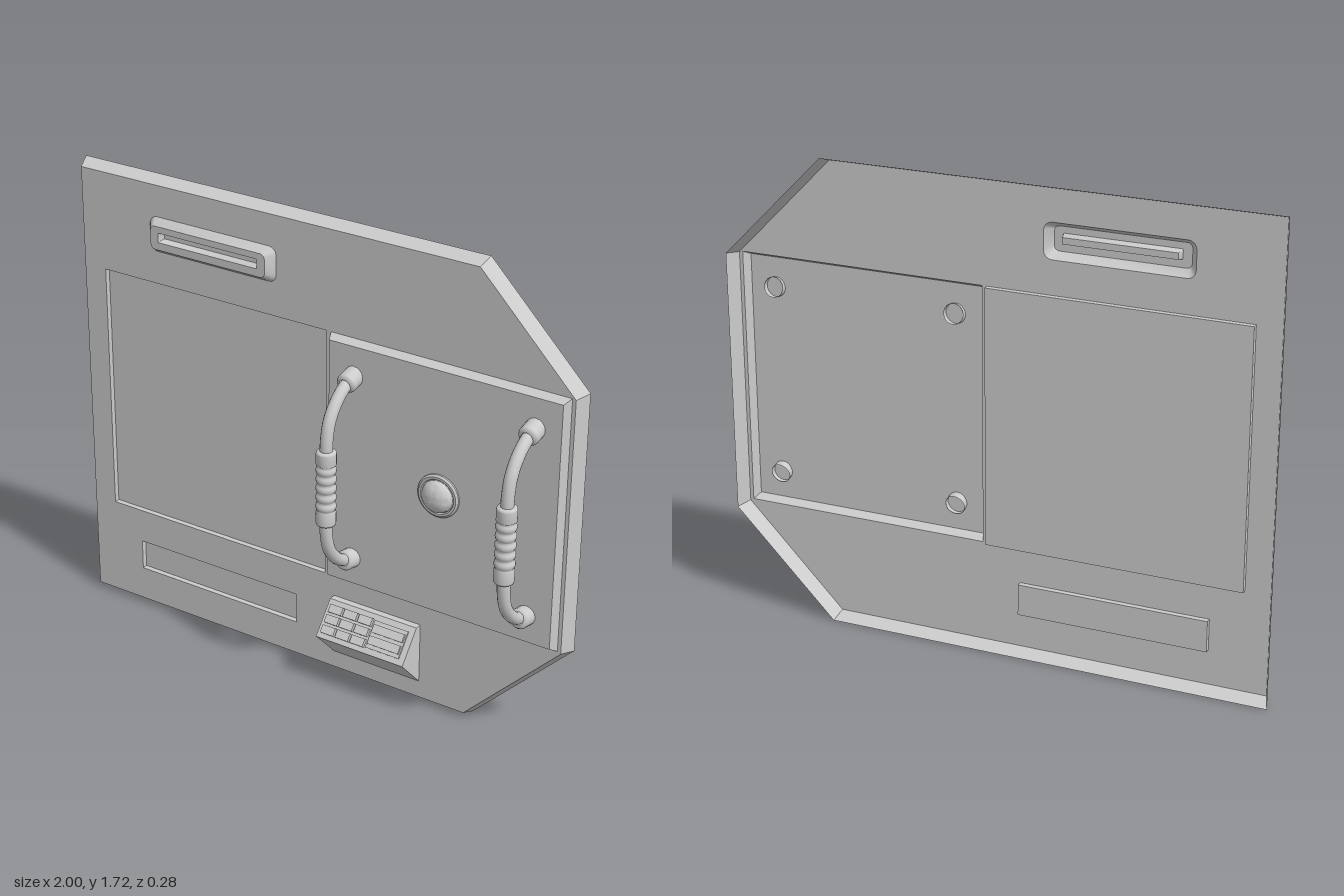
import * as THREE from 'three';
import { mergeVertices, toCreasedNormals } from 'three/addons/utils/BufferGeometryUtils.js';

const mat = new THREE.MeshStandardMaterial({ color: 0xcccccc, side: THREE.DoubleSide });
const FACE = -0.085; // z of the front sheet
const DOOR = -0.055; // z of the raised door panel

function add(parent, name, geometry) {
  const mesh = new THREE.Mesh(geometry, mat);
  mesh.name = name;
  parent.add(mesh);
  return mesh;
}

// Counter-clockwise rectangle, with rounded corners when r > 0
function rect(x0, x1, y0, y1, r = 0) {
  const pts = [], n = r ? 4 : 0;
  [[x1 - r, y0 + r, -1], [x1 - r, y1 - r, 0], [x0 + r, y1 - r, 1], [x0 + r, y0 + r, 2]].forEach(([x, y, q]) => {
    for (let i = 0; i <= n; i++) {
      const a = (q + (n ? i / n : 0)) * Math.PI / 2;
      pts.push(new THREE.Vector2(x + r * Math.cos(a), y + r * Math.sin(a)));
    }
  });
  return pts;
}

// Sheet walls running through [outline, z] rings; the last ring may be closed flat
function loft(rings, cap = true) {
  const pos = [];
  const put = ([pts, z], i) => { const p = pts[i % pts.length]; pos.push(p.x, p.y, z); };
  for (let k = 0; k + 1 < rings.length; k++) {
    const a = rings[k], b = rings[k + 1];
    for (let i = 0; i < a[0].length; i++) {
      put(a, i); put(a, i + 1); put(b, i + 1);
      put(a, i); put(b, i + 1); put(b, i);
    }
  }
  if (cap) {
    const last = rings[rings.length - 1];
    THREE.ShapeUtils.triangulateShape(last[0], []).forEach(f => f.forEach(i => put(last, i)));
  }
  const g = new THREE.BufferGeometry();
  g.setAttribute('position', new THREE.Float32BufferAttribute(pos, 3));
  return toCreasedNormals(mergeVertices(g), 0.5);
}

function buildHandle(x) {
  const handle = new THREE.Group();
  const side = [[1.2, -0.05], [1.19, 0], [1.155, 0.05], [1.1, 0.09], [1.03, 0.107], [0.95, 0.108]];
  const mid = 0.86;
  const path = [...side, ...side.slice().reverse().map(([y, z]) => [2 * mid - y, z])]
    .map(([y, z]) => new THREE.Vector3(0, y, z));
  add(handle, 'handleBar', new THREE.TubeGeometry(new THREE.CatmullRomCurve3(path), 48, 0.022, 14));

  // Grip with plain collars and five rounded ridges
  const profile = [[0.022, -0.14], [0.033, -0.137], [0.035, -0.13], [0.035, -0.09]];
  for (let i = 0; i <= 30; i++) {
    profile.push([0.029 + 0.007 * Math.abs(Math.sin(i / 6 * Math.PI)), -0.085 + 0.17 * i / 30]);
  }
  profile.push([0.035, 0.09], [0.035, 0.13], [0.033, 0.137], [0.022, 0.14]);
  const grip = add(handle, 'handleGrip', new THREE.LatheGeometry(profile.map(p => new THREE.Vector2(...p)), 20));
  grip.position.set(0, mid, 0.108);

  // Open sockets that pass through the door
  for (const s of [1, -1]) {
    const socket = add(handle, 'handleSocket', new THREE.LatheGeometry(
      [[0.036, -0.04], [0.036, 0.025], [0.031, 0.034], [0.02, 0.036]].map(p => new THREE.Vector2(...p)), 18));
    socket.position.set(0, mid + s * 0.343, -0.036);
    socket.rotation.x = Math.PI / 2 + s * 0.2;
  }
  handle.name = 'handle';
  handle.position.x = x;
  return handle;
}

function buildKeypad() {
  const keypad = new THREE.Group();
  keypad.name = 'keypad';
  // Wedge: profile in (z, y), extruded along x
  const low = [0.03, 0.205], high = [-0.06, 0.315];
  const shape = new THREE.Shape([[FACE, 0.085], low, high, [FACE, 0.315]].map(p => new THREE.Vector2(...p)));
  const wedge = new THREE.ExtrudeGeometry(shape, { depth: 0.355, bevelEnabled: false });
  wedge.rotateY(-Math.PI / 2); // profile x -> z, depth -> -x
  wedge.translate(0.435, 0, 0);
  add(keypad, 'keypadBody', wedge);

  // Keys laid out on the sloping face
  const dz = high[0] - low[0], dy = high[1] - low[1], len = Math.hypot(dz, dy);
  const panel = new THREE.Group();
  panel.name = 'keypadPanel';
  panel.position.set(0.2575, (low[1] + high[1]) / 2, (low[0] + high[0]) / 2);
  panel.rotation.x = -Math.atan2(-dz, dy);
  keypad.add(panel);
  const key = (x, y, w, h, d = 0.028) => add(panel, 'key', new THREE.BoxGeometry(w, h, d)).position.set(x, y, 0);
  const row = len * 0.27;
  for (let r = -1; r <= 1; r++) {
    for (let c = 0; c < 3; c++) key(-0.135 + c * 0.061, r * row, 0.053, row - 0.009);
  }
  for (const y of [-0.021, 0.021]) key(0.088, y, 0.125, 0.03);
  key(0.088, 0, 0.135, 0.1, 0.012);
  return keypad;
}

export function createModel() {
  const model = new THREE.Group();
  model.name = 'wallPanel';
  const V = ([x, y]) => new THREE.Vector2(x, y);

  // Open-backed plate: sloping rim and front sheet with openings
  const back = [[-1, 0], [0.625, 0], [1, 0.38], [1, 1.335], [0.625, 1.715], [-1, 1.715]].map(V);
  const front = [[-0.98, 0.02], [0.617, 0.02], [0.978, 0.388], [0.978, 1.327], [0.617, 1.695], [-0.98, 1.695]].map(V);
  add(model, 'rim', loft([[back, -0.14], [front, FACE]], false));

  const screen = rect(-0.89, 0.042, 0.395, 1.33);
  const tray = rect(-0.77, -0.08, 0.15, 0.265);
  const door = rect(0.06, 0.965, 0.395, 1.33);
  const bezel = rect(-0.685, -0.16, 1.452, 1.58, 0.03);
  const sheet = new THREE.Shape(front);
  sheet.holes = [screen, tray, door, bezel].map(pts => new THREE.Path(pts));
  const face = new THREE.ShapeGeometry(sheet);
  face.translate(0, 0, FACE);
  add(model, 'frontSheet', face);

  // Recessed panels
  add(model, 'screen', loft([[screen, FACE], [screen, -0.105]]));
  add(model, 'lowerTray', loft([[tray, FACE], [tray, -0.105]]));

  // Raised surround with a sunken slot
  add(model, 'slotSurround', loft([
    [bezel, FACE],
    [rect(-0.66, -0.185, 1.474, 1.56, 0.018), -0.052],
    [rect(-0.628, -0.217, 1.502, 1.537, 0.003), -0.052],
    [rect(-0.622, -0.223, 1.508, 1.531, 0.001), -0.08],
  ]));

  // Raised door
  add(model, 'door', loft([[door, FACE], [rect(0.072, 0.95, 0.412, 1.315), DOOR]]));
  for (const x of [0.17, 0.855]) model.add(buildHandle(x));

  // Domed button on a flange
  const dome = [[0.079, 0], [0.079, 0.006], [0.072, 0.012], [0.064, 0.012], [0.06, 0.008]];
  for (let i = 0; i <= 8; i++) {
    const a = i / 8 * Math.PI / 2;
    dome.push([0.058 * Math.cos(a), 0.01 + 0.036 * Math.sin(a)]);
  }
  const button = add(model, 'button', toCreasedNormals(new THREE.LatheGeometry(dome.map(V), 32), 0.6));
  button.rotation.x = Math.PI / 2;
  button.position.set(0.51, 0.86, DOOR);

  model.add(buildKeypad());
  return model;
}
